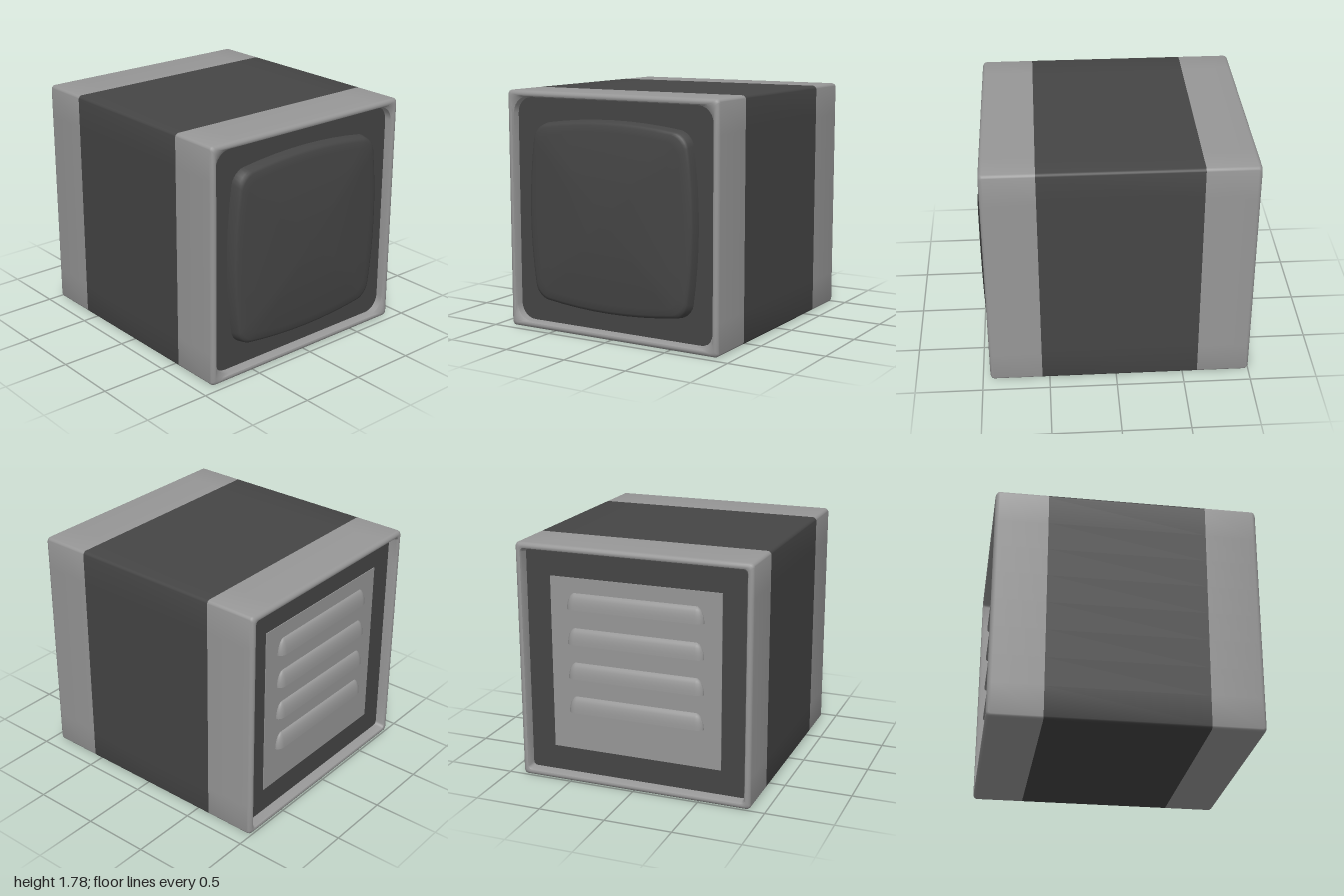
import * as THREE from 'three';
import { toCreasedNormals } from 'three/addons/utils/BufferGeometryUtils.js';

const lightGrey = new THREE.MeshStandardMaterial({ color: 0x979797 });
lightGrey.name = 'lightGrey';
const darkGrey = new THREE.MeshStandardMaterial({ color: 0x454545 });
darkGrey.name = 'darkGrey';

const CORNER = 6, SIDE = 8;

// Rounded square in the plane facing +x; bulge bows the sides outward
function ring(x, h, r, bulge = 0) {
  const pts = [];
  const k = h - r;
  for (let c = 0; c < 4; c++) {
    const a0 = c * Math.PI / 2;
    const rot = (u, v) => [u * Math.cos(a0) - v * Math.sin(a0), u * Math.sin(a0) + v * Math.cos(a0)];
    for (let i = 0; i < SIDE; i++) pts.push(rot(h, -k + 2 * k * i / SIDE));
    for (let i = 0; i < CORNER; i++) {
      const a = i / CORNER * Math.PI / 2;
      pts.push(rot(k + r * Math.cos(a), k + r * Math.sin(a)));
    }
  }
  return pts.map(([u, v]) => {
    const bu = h ? 1 + bulge * (1 - (v / h) ** 2) : 1;
    const bv = h ? 1 + bulge * (1 - (u / h) ** 2) : 1;
    return [x, v * bv, -u * bu];
  });
}

// Skin a list of rings running along +x
function loft(rings, closed = false) {
  const n = rings[0].length, index = [];
  for (let i = 0; i < rings.length - 1; i++) {
    for (let j = 0; j < n; j++) {
      const a = i * n + j, b = i * n + (j + 1) % n;
      index.push(a, b, b + n);
      if (!(closed && i === rings.length - 2)) index.push(a, b + n, a + n);
    }
  }
  const g = new THREE.BufferGeometry();
  g.setAttribute('position', new THREE.Float32BufferAttribute(rings.flat(2), 3));
  g.setIndex(index);
  return toCreasedNormals(g, 0.6);
}

function add(parent, name, geometry, material, x = 0, y = 0, z = 0) {
  const m = new THREE.Mesh(geometry, material);
  m.name = name;
  m.position.set(x, y, z);
  parent.add(m);
  return m;
}

// End band with rounded lip and a recess inside
function bandGeometry(start, end, innerRadius) {
  const r = 0.03;
  const rings = [ring(start, 0.89, r)];
  for (let i = 0; i <= 4; i++) {
    const a = i / 4 * Math.PI / 2;
    rings.push(ring(end - r + r * Math.sin(a), 0.86 + r * Math.cos(a), r));
  }
  rings.push(ring(end - 0.004, 0.85, (r + innerRadius) / 2));
  rings.push(ring(end - 0.02, 0.842, innerRadius));
  rings.push(ring(end - 0.09, 0.836, innerRadius));
  return loft(rings);
}

// Vent hood: half capsule with a flat underside
function louverGeometry() {
  const g = new THREE.CapsuleGeometry(0.06, 0.92, 8, 24);
  g.rotateX(Math.PI / 2);
  g.scale(0.65, 2, 1);
  const p = g.attributes.position;
  for (let i = 0; i < p.count; i++) if (p.getY(i) < 0) p.setY(i, 0);
  return toCreasedNormals(g, 0.7);
}

export function createModel() {
  const model = new THREE.Group();
  model.name = 'monitorCube';
  const body = new THREE.Group();
  body.name = 'body';
  body.position.y = 0.89;
  model.add(body);

  // Dark shell and the core whose ends are the recessed panels
  add(body, 'middleBand', loft([ring(-0.61, 0.89, 0.03), ring(0.555, 0.89, 0.03)]), darkGrey);
  add(body, 'recessedPanels', new THREE.BoxGeometry(1.8, 1.69, 1.69), darkGrey, -0.025);

  // Light bands at both ends
  add(body, 'screenBand', bandGeometry(0.555, 0.945, 0.12), lightGrey);
  const back = new THREE.Group();
  back.name = 'ventEnd';
  back.rotation.y = Math.PI;
  body.add(back);
  add(back, 'ventBand', bandGeometry(0.61, 1, 0.03), lightGrey);

  // Bulging screen
  const b = 0.085;
  const rings = [[0.87, 0.648], [0.935, 0.638], [0.948, 0.63], [0.956, 0.615]]
    .map(([x, h]) => ring(x, h, 0.09, b));
  for (const s of [0.92, 0.8, 0.65, 0.5, 0.35, 0.2, 0.08, 0]) {
    rings.push(ring(1 - 0.046 * s * s, 0.62 * s, 0.09 * s, b));
  }
  add(body, 'screen', loft(rings, true), darkGrey);

  // Vent plate with four hoods
  add(back, 'ventPlate', new THREE.BoxGeometry(0.008, 1.3, 1.3), lightGrey, 0.926);
  for (let i = 0; i < 4; i++) {
    add(back, 'ventHood' + (i + 1), louverGeometry(), lightGrey, 0.928, -0.36 + i * 0.26, 0);
  }
  return model;
}
